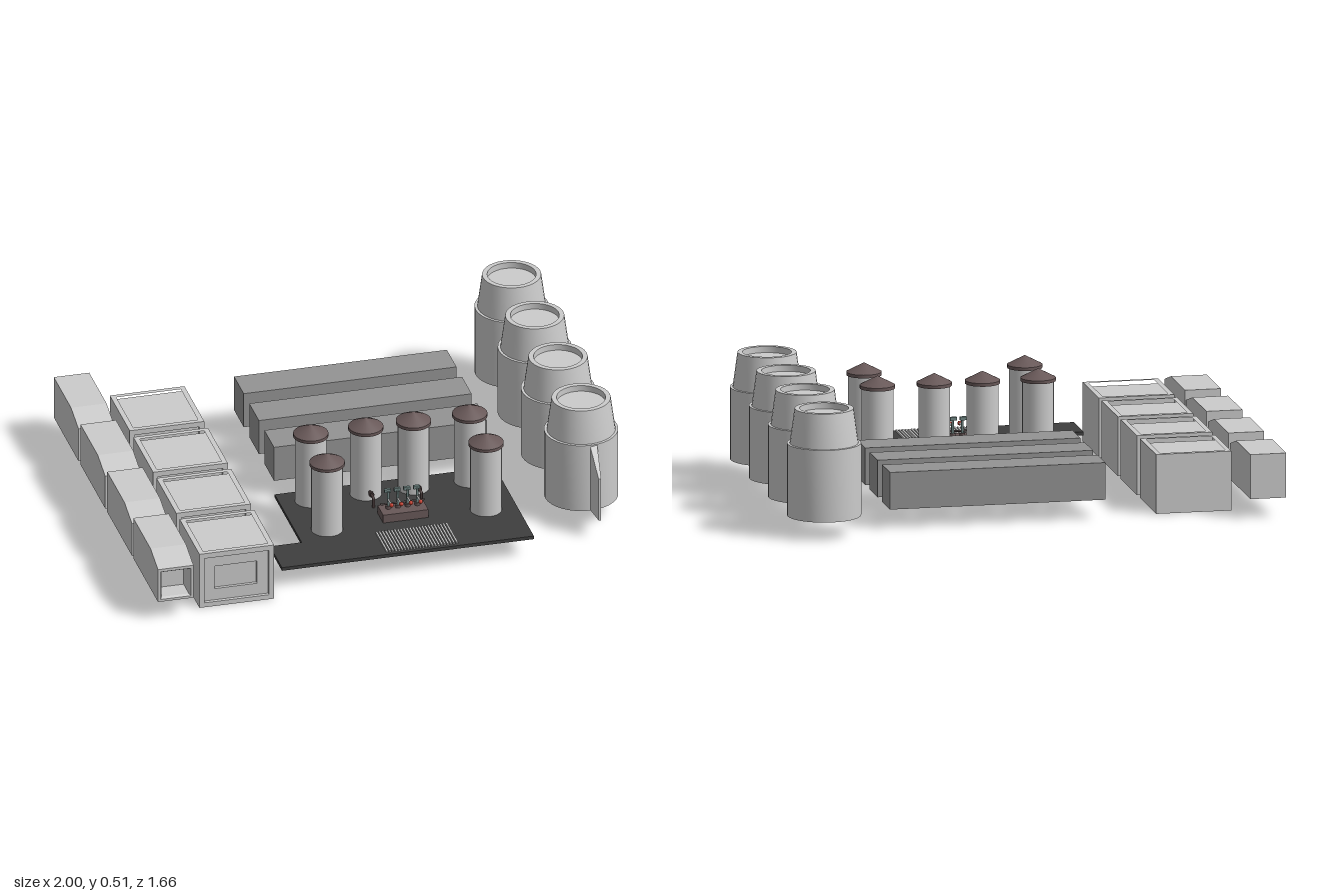
import * as THREE from 'three';
import { toCreasedNormals } from 'three/addons/utils/BufferGeometryUtils.js';

const mat = (color) => new THREE.MeshStandardMaterial({ color });
const grey = mat(0xcccccc), darkGrey = mat(0x949494), black = mat(0x3e3e3e);
const brown = mat(0x685858), pipeBrown = mat(0x4a3c3c), red = mat(0xc03a2a), teal = mat(0x6f8583);

function add(parent, name, geometry, material, x = 0, y = 0, z = 0) {
  const mesh = new THREE.Mesh(geometry, material);
  mesh.name = name;
  mesh.position.set(x, y, z);
  parent.add(mesh);
  return mesh;
}

function group(parent, name, x = 0, y = 0, z = 0) {
  const g = new THREE.Group();
  g.name = name;
  g.position.set(x, y, z);
  parent.add(g);
  return g;
}

// Joins rectangular rings [halfWidth, bottom, top, z] from back to front and caps both ends
function loft(rings) {
  const pts = rings.map(([w, b, t, z]) => [[-w, b, z], [w, b, z], [w, t, z], [-w, t, z]]);
  const pos = [];
  const quad = (a, b, c, d) => pos.push(...a, ...b, ...c, ...a, ...c, ...d);
  const first = pts[0], last = pts[pts.length - 1];
  quad(first[3], first[2], first[1], first[0]);
  for (let i = 0; i < pts.length - 1; i++) {
    for (let k = 0; k < 4; k++) {
      const n = (k + 1) % 4;
      quad(pts[i][k], pts[i][n], pts[i + 1][n], pts[i + 1][k]);
    }
  }
  quad(...last);
  const g = new THREE.BufferGeometry();
  g.setAttribute('position', new THREE.Float32BufferAttribute(pos, 3));
  g.computeVertexNormals();
  return g;
}

const lathe = (points, segments) => toCreasedNormals(
  new THREE.LatheGeometry(points.map(([r, y]) => new THREE.Vector2(r, y)), segments), 0.5);

// Flat outline in x and z, thickened upward
function slab(points, depth, hole) {
  const toV = ([x, z]) => new THREE.Vector2(x, -z);
  const shape = new THREE.Shape(points.map(toV));
  if (hole) shape.holes.push(new THREE.Path(hole.map(toV)));
  return new THREE.ExtrudeGeometry(shape, { depth, bevelEnabled: false }).rotateX(-Math.PI / 2);
}

// Pipe with straight runs and square corners
function pipe(parent, name, points, radius, material = pipeBrown) {
  const path = new THREE.CurvePath();
  const v = points.map((p) => new THREE.Vector3(...p));
  for (let i = 0; i < v.length - 1; i++) path.add(new THREE.LineCurve3(v[i], v[i + 1]));
  add(parent, name, new THREE.TubeGeometry(path, 40, radius, 8), material);
}

const square = (h) => [[-h, -h], [h, -h], [h, h], [-h, h]];

export function createModel() {
  const model = new THREE.Group();
  model.name = 'industrialYard';

  // Intake ducts with a sloped nose and an open mouth
  const ductGeo = loft([
    [0.0725, 0.08, 0.26, -0.19], [0.0725, 0.08, 0.26, 0.075], [0.0725, 0.08, 0.225, 0.19],
    [0.062, 0.09, 0.213, 0.19], [0.056, 0.096, 0.207, 0.18], [0.056, 0.096, 0.207, 0.1],
  ]);
  [-0.58, -0.17, 0.24, 0.64].forEach((z) => add(model, 'intakeDuct', ductGeo, grey, -0.9275, 0, z));

  // Square basins: recessed front panel and raised rim on top
  const basinGeo = loft([
    [0.1525, 0, 0.22, -0.1525], [0.1525, 0, 0.22, 0.1525], [0.132, 0.02, 0.218, 0.1525],
    [0.132, 0.02, 0.218, 0.138], [0.087, 0.07, 0.17, 0.138], [0.087, 0.07, 0.17, 0.125],
  ]);
  const rimGeo = slab(square(0.1525), 0.02, square(0.132));
  [-0.4475, -0.0875, 0.2675, 0.6225].forEach((z) => {
    const basin = group(model, 'basin', -0.6635, 0, z);
    add(basin, 'basinBody', basinGeo, grey);
    add(basin, 'basinRim', rimGeo, grey, 0, 0.22);
  });

  // Long storage blocks
  [-0.575, -0.342, -0.11].forEach((z) =>
    add(model, 'longBlock', new THREE.BoxGeometry(0.87, 0.15, 0.148), darkGrey, 0.14, 0.153, z));

  // Large tanks with a tapered, dished top and a wedge fin
  const tankGeo = lathe([[0, 0.078], [0.147, 0.078], [0.147, 0.37], [0.136, 0.37],
    [0.117, 0.51], [0.097, 0.51], [0.097, 0.485], [0, 0.485]], 32);
  const finGeo = loft([[0.015, 0.08, 0.37, 0.14], [0.005, 0.08, 0.265, 0.24]]);
  [-0.687, -0.332, 0.024, 0.379].forEach((z) => {
    const tank = group(model, 'largeTank', 0.85, 0, z);
    add(tank, 'tankBody', tankGeo, grey);
    add(tank, 'tankFin', finGeo, grey, 0.013);
  });

  // Base plate with a notched corner
  add(model, 'basePlate', slab([[-0.46, 0.705], [0.57, 0.705], [0.57, 0.105],
    [-0.33, 0.105], [-0.33, 0.52], [-0.46, 0.52]], 0.014), black, 0, 0.081);

  // Silos with conical roofs and outlet pipes
  const bodyGeo = new THREE.CylinderGeometry(0.063, 0.063, 0.3, 24);
  const roofGeo = lathe([[0, 0.385], [0.07, 0.385], [0.07, 0.398], [0, 0.435]], 24);
  [[-0.205, 0.19, 1], [0.02, 0.19, 1], [0.215, 0.19, 1], [0.445, 0.19, 1],
    [-0.205, 0.44, -1], [0.445, 0.44, -1]].forEach(([x, z, dir]) => {
    const silo = group(model, 'silo', x, 0, z);
    add(silo, 'siloBody', bodyGeo, grey, 0, 0.24);
    add(silo, 'siloRoof', roofGeo, brown);
    const end = dir * 0.12;
    pipe(silo, 'outletPipe', [[0, 0.135, dir * 0.055], [0, 0.135, end], [0, 0.07, end]], 0.006);
    const flange = add(silo, 'outletFlange', new THREE.CylinderGeometry(0.011, 0.011, 0.012, 10),
      pipeBrown, 0, 0.135, dir * 0.085);
    flange.rotation.x = Math.PI / 2;
  });

  // Pipes beneath the plate
  [[-0.205, 0.07], [0.445, 0.17]].forEach(([outer, inner]) => {
    pipe(model, 'underPipe', [[outer, 0.08, 0.31], [outer, 0.034, 0.31],
      [inner, 0.034, 0.31], [inner, 0.034, 0.42]], 0.006);
  });
  [0.04, 0.2].forEach((x) =>
    pipe(model, 'rearUnderPipe', [[x, 0.055, 0.38], [x, 0.055, 0.2], [x, 0.085, 0.2]], 0.006));

  // Valve console passing through the plate
  const consoleGroup = group(model, 'valveConsole', 0.115, 0, 0.405);
  add(consoleGroup, 'consoleHousing', new THREE.BoxGeometry(0.185, 0.09, 0.085), brown, 0, 0.085);
  [-1, 1].forEach((side) => {
    add(consoleGroup, 'consoleFoot', new THREE.BoxGeometry(0.05, 0.015, 0.085), pipeBrown, side * 0.062, 0.034);
  });
  const barGeo = new THREE.CylinderGeometry(0.004, 0.004, 0.18, 8).rotateZ(Math.PI / 2);
  add(consoleGroup, 'valveManifold', barGeo, pipeBrown, 0, 0.15, -0.01);
  for (let i = 0; i < 4; i++) {
    const x = -0.058 + i * 0.0395;
    add(consoleGroup, 'valveStem', new THREE.CylinderGeometry(0.005, 0.006, 0.075, 8), teal, x, 0.165, -0.01);
    add(consoleGroup, 'gauge', new THREE.BoxGeometry(0.026, 0.014, 0.012), teal, x, 0.203, -0.022);
    const arm = add(consoleGroup, 'leverArm', new THREE.CylinderGeometry(0.004, 0.004, 0.05, 8), grey, x, 0.17, 0.012);
    arm.rotation.x = Math.PI / 2;
    add(consoleGroup, 'leverKnob', new THREE.SphereGeometry(0.009, 10, 8), red, x, 0.17, 0.042);
    add(consoleGroup, 'valveCollar', new THREE.CylinderGeometry(0.011, 0.011, 0.012, 10), brown, x, 0.136, -0.01);
  }

  // Floor grating
  const grating = group(model, 'floorGrating', 0.118, 0.098, 0.605);
  const count = 24;
  for (let i = 0; i < count; i++) {
    const x = -0.143 + (0.286 * i) / (count - 1);
    add(grating, 'gratingBar', new THREE.BoxGeometry(0.007, 0.008, 0.168), grey, x);
  }
  return model;
}
